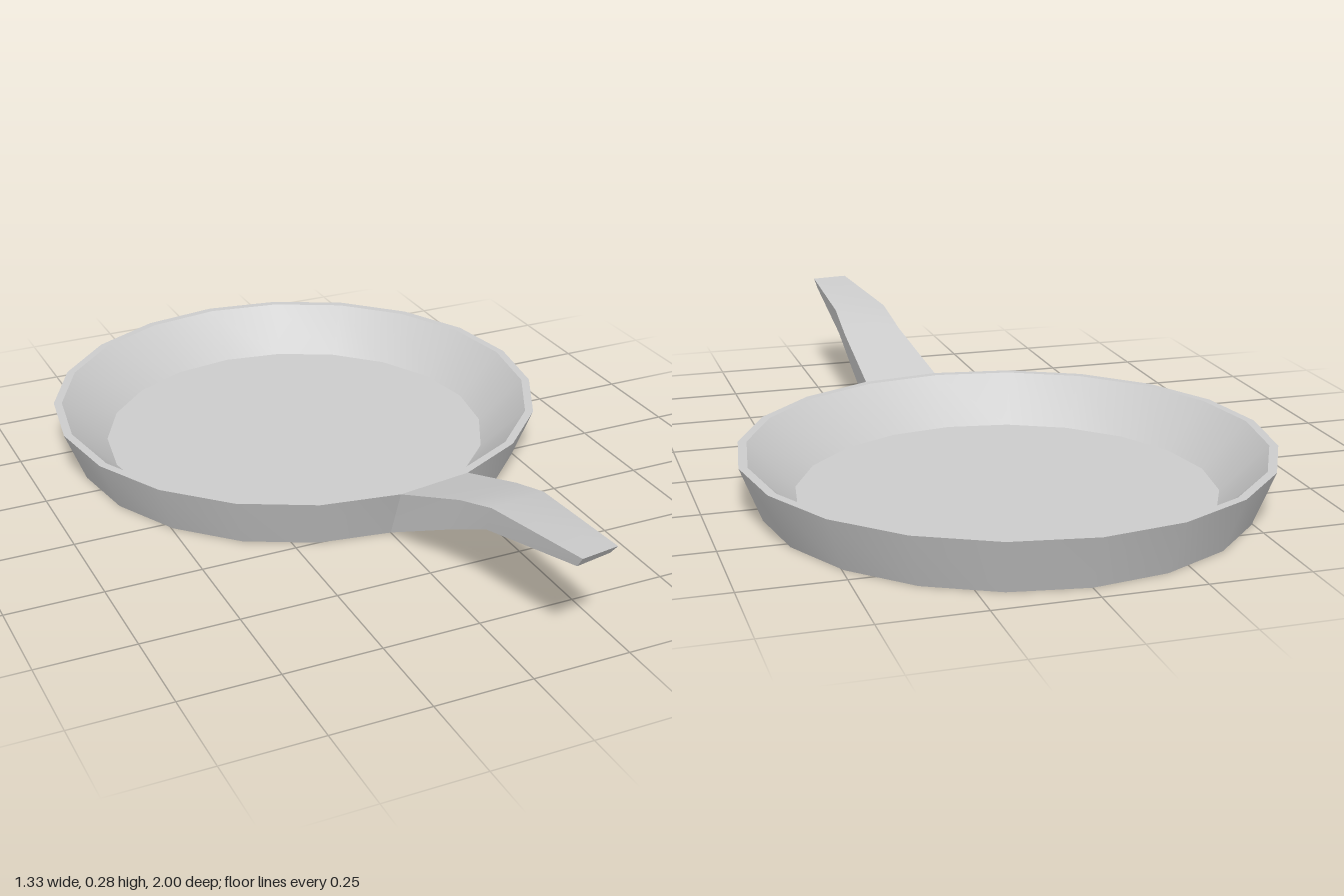
import * as THREE from 'three';
import { toCreasedNormals } from 'three/addons/utils/BufferGeometryUtils.js';

const CREASE = 0.6;
const SIDES = 20;
const PAN_Z = -0.333;

// Joins four-cornered sections into a tube, closed at the far end.
function loft(sections) {
  const index = [];
  const at = (i, j) => i * 4 + (j % 4);
  for (let i = 0; i < sections.length - 1; i++) {
    for (let j = 0; j < 4; j++) {
      const a = at(i, j), b = at(i + 1, j), c = at(i + 1, j + 1), d = at(i, j + 1);
      index.push(a, b, c, a, c, d);
    }
  }
  const e = sections.length - 1;
  index.push(at(e, 0), at(e, 3), at(e, 2), at(e, 0), at(e, 2), at(e, 1));
  const geometry = new THREE.BufferGeometry();
  geometry.setAttribute('position', new THREE.Float32BufferAttribute(sections.flat(2), 3));
  geometry.setIndex(index);
  return geometry;
}

export function createModel() {
  const group = new THREE.Group();
  group.name = 'fryingPan';
  const material = new THREE.MeshStandardMaterial({ color: 0xcccccc });

  const add = (name, geometry) => {
    const mesh = new THREE.Mesh(toCreasedNormals(geometry, CREASE), material);
    mesh.name = name;
    group.add(mesh);
    return mesh;
  };

  // Pan: underside, flared wall, thin rim, sloping inside and floor
  const profile = [[0, 0], [0.613, 0], [0.667, 0.137], [0.645, 0.137], [0.527, 0.02], [0, 0.02]]
    .map(([r, y]) => new THREE.Vector2(r, y));
  add('pan', new THREE.LatheGeometry(profile, SIDES)).position.z = PAN_Z;

  // Handle: grows out of one wall panel, rising and thinning towards its tip
  const step = (Math.PI * 2) / SIDES;
  const wall = (r, y, k) => [r * Math.sin(k * step), y, PAN_Z + r * Math.cos(k * step)];
  // corners of each section: top right, top left, bottom left, bottom right
  add('handle', loft([
    [wall(0.667, 0.137, 0), wall(0.667, 0.137, 1), wall(0.613, 0, 1), wall(0.613, 0, 0)],
    [[0.047, 0.217, 0.55], [0.213, 0.217, 0.53], [0.2, 0.122, 0.505], [0.045, 0.122, 0.52]],
    [[0.06, 0.257, 0.68], [0.21, 0.257, 0.66], [0.205, 0.192, 0.645], [0.06, 0.19, 0.66]],
    [[0.106, 0.281, 1], [0.206, 0.281, 0.985], [0.2, 0.255, 0.965], [0.106, 0.252, 0.98]],
  ]));

  return group;
}
